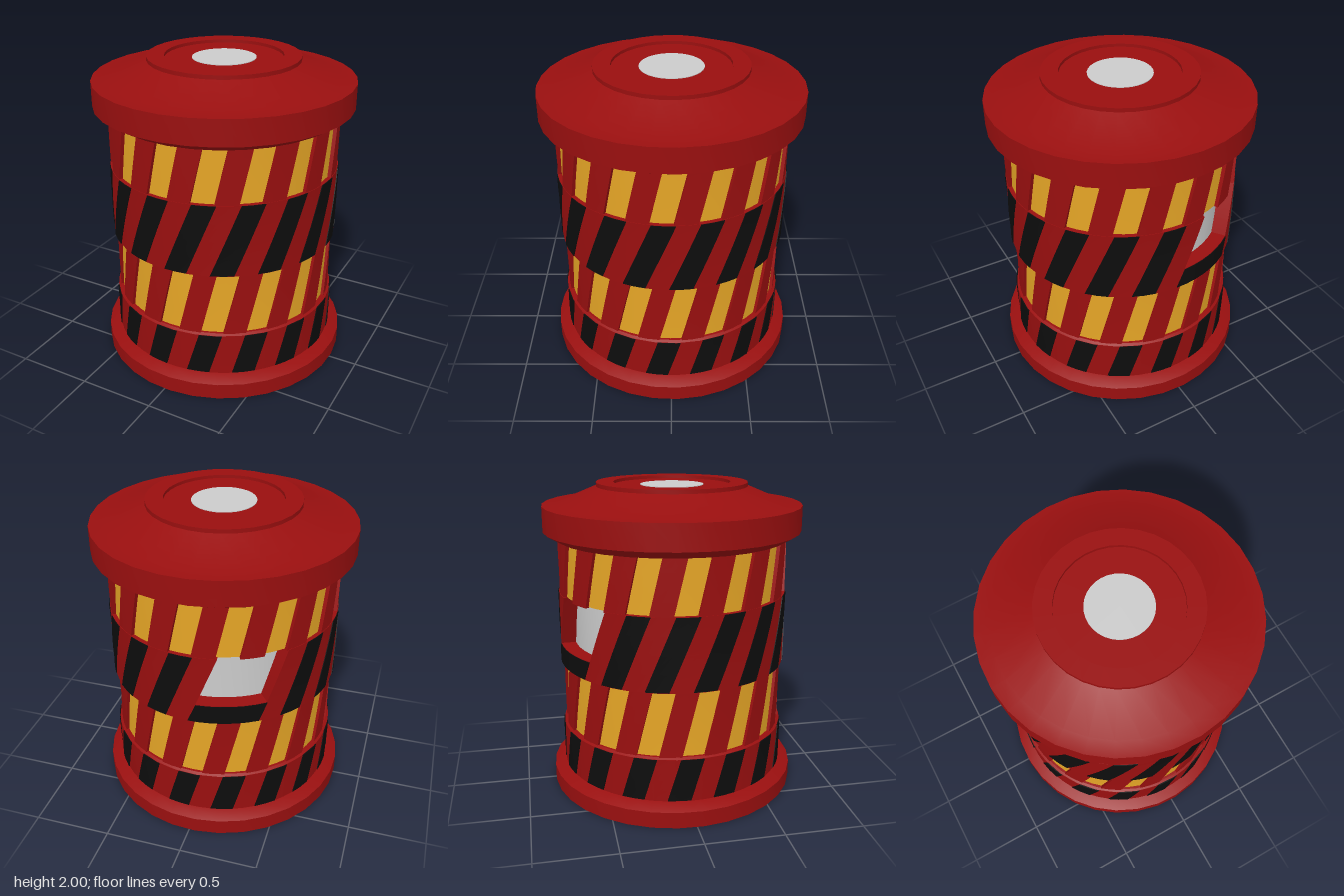
import * as THREE from 'three';
import { toCreasedNormals } from 'three/addons/utils/BufferGeometryUtils.js';

const SIDES = 32, STRIPES = 16, PITCH = Math.PI * 2 / STRIPES;
const paint = (color) => new THREE.MeshStandardMaterial({ color });

export function createModel() {
  const model = new THREE.Group();
  const red = paint(0x990f0f), yellow = paint(0xe5a526), black = paint(0x0d0d0d), grey = paint(0xcccccc);

  const add = (name, geometry, material, parent = model) => {
    const mesh = new THREE.Mesh(toCreasedNormals(geometry, 0.5), material);
    mesh.name = name;
    parent.add(mesh);
    return mesh;
  };

  // Round part from a profile of [radius, height] pairs, bottom to top
  const turn = (name, profile, material) => add(name, new THREE.LatheGeometry(
    profile.map(([r, y]) => new THREE.Vector2(r, y)), SIDES, 0.048), material);

  // Box bent round the axis and slanted: a = angle at y0, b = angle at y1
  const panel = (name, parent, material, { a, b, width, y0, y1, r0, r1 }) => {
    const geometry = new THREE.BoxGeometry(1, 1, 1, Math.ceil(width / 0.1), 4, 1);
    const p = geometry.attributes.position;
    for (let i = 0; i < p.count; i++) {
      const t = p.getY(i) + 0.5;
      const angle = a + (b - a) * t + p.getX(i) * width;
      const r = p.getZ(i) > 0 ? r1 : r0;
      p.setXYZ(i, r * Math.sin(angle), y0 + (y1 - y0) * t, r * Math.cos(angle));
    }
    return add(name, geometry, material, parent);
  };

  // Foot
  turn('base', [[0, 0], [0.815, 0], [0.815, 0.105], [0.74, 0.14], [0, 0.14]], red);

  // Lid with stepped crown and shallow recess
  turn('lid', [[0, 1.655], [0.74, 1.655], [0.825, 1.705], [0.825, 1.865], [0.73, 1.87],
    [0.48, 1.975], [0.48, 2], [0.37, 2], [0.37, 1.98], [0, 1.98]], red);
  turn('lidDisc', [[0.2, 1.97], [0.2, 1.984], [0, 1.984]], grey);

  // Cores behind the striped bands
  turn('lowerCore', [[0, 0.13], [0.69, 0.13], [0.69, 0.86], [0, 0.86]], red);
  turn('upperCore', [[0, 1.31], [0.69, 1.31], [0.69, 1.67], [0, 1.67]], red);
  turn('innerLiner', [[0.645, 0.85], [0.645, 1.32]], grey);
  turn('bottomRing', [[0.737, 0.14], [0.737, 0.42], [0.72, 0.43], [0.68, 0.43]], red);

  // Striped bands: slanted coloured strips between red ones
  const bands = [
    { name: 'bottomBand', color: black, y0: 0.14, y1: 0.42, a: -0.13, b: -0.02, r0: 0.7, strip: 0.742, ridge: 0.737 },
    { name: 'lowerBand', color: yellow, y0: 0.42, y1: 0.86, a: -0.01, b: 0.14, r0: 0.66, strip: 0.703, ridge: 0.722 },
    { name: 'middleBand', color: black, y0: 0.85, y1: 1.315, a: 0.08, b: 0.33, r0: 0.645, strip: 0.743, ridge: 0.738 },
    { name: 'upperBand', color: yellow, y0: 1.31, y1: 1.66, a: -0.08, b: 0.03, r0: 0.66, strip: 0.712, ridge: 0.735 },
  ];
  for (const { name, color, y0, y1, a, b, r0, strip, ridge } of bands) {
    const band = new THREE.Group();
    band.name = name;
    model.add(band);
    const middle = name === 'middleBand';
    for (let i = 0; i < STRIPES; i++) {
      const turnBy = i * PITCH;
      const spot = { a: a + turnBy, b: b + turnBy, width: PITCH / 2, y0, y1, r0 };
      // the window takes two coloured strips and the red one between them
      const inWindow = middle && (i === 8 || i === 9);
      if (!inWindow) {
        panel('colourStrip', band, color, { ...spot, y0: y0 + 0.004, y1: y1 - 0.002, r1: strip });
        if (middle) panel('stripBacking', band, red, { ...spot, r1: ridge });
      }
      if (!(middle && i === 8)) {
        panel('redStrip', band, red, { ...spot, a: spot.a + PITCH / 2, b: spot.b + PITCH / 2, r1: ridge });
      }
    }
    if (middle) {
      // sill under the window, following the slant of the strips
      const sillTop = 0.98, k = (sillTop - y0) / (y1 - y0), start = a + 8.5 * PITCH;
      const sill = { a: start, b: start + (b - a) * k, width: PITCH * 1.5, y0, y1: sillTop, r0 };
      panel('windowSill', band, red, { ...sill, r1: ridge });
      panel('sillFace', band, black, { ...sill, y0: y0 + 0.004, y1: sillTop - 0.004, r0: 0.73, r1: strip });
    }
  }
  return model;
}
